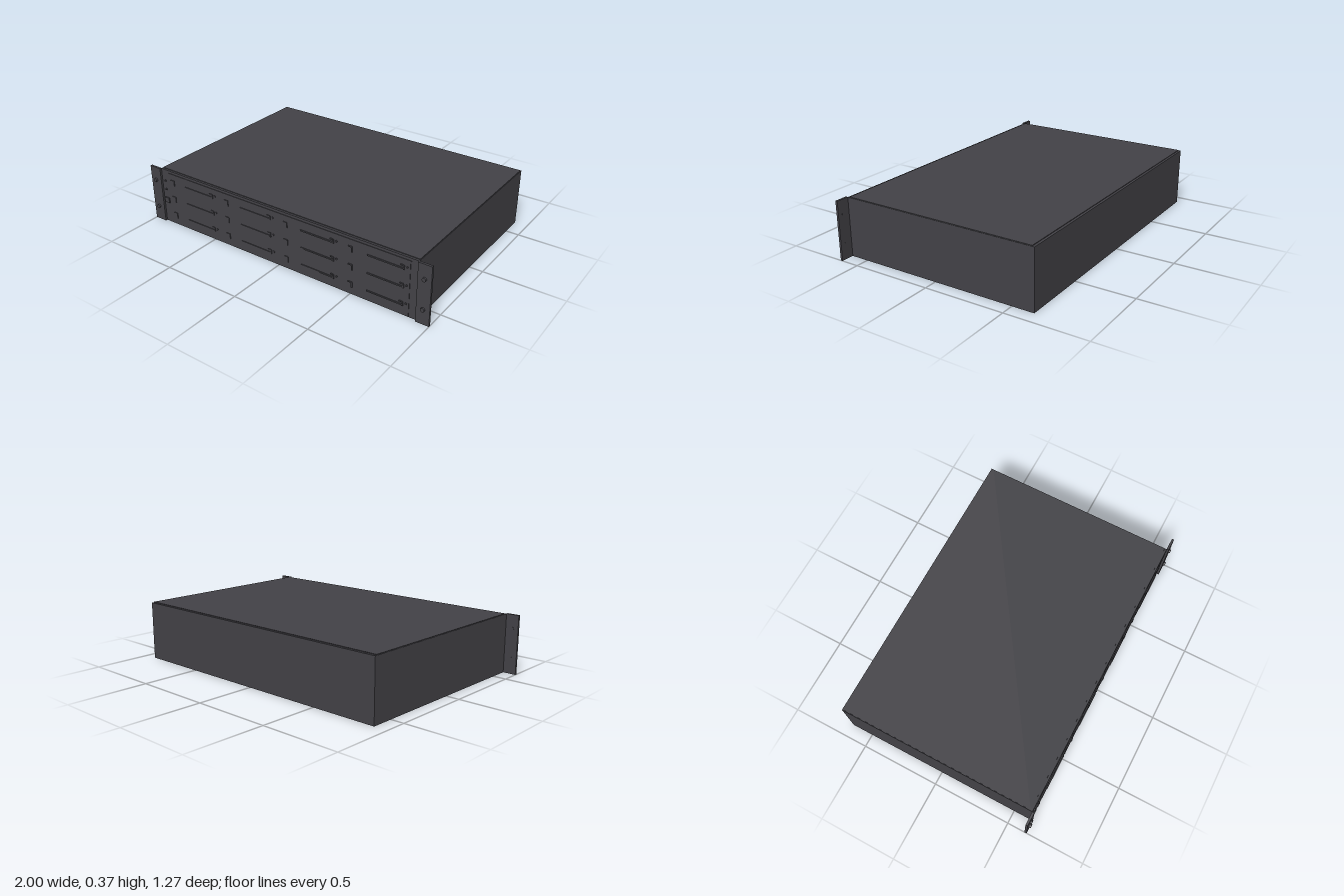
import * as THREE from 'three';

export function createModel() {
  const model = new THREE.Group();
  model.name = 'rackServer';
  const steel = new THREE.MeshStandardMaterial({ color: 0x434247 });
  steel.name = 'dark grey steel';

  const add = (parent, name, geometry, x, y, z) => {
    const mesh = new THREE.Mesh(geometry, steel);
    mesh.name = name;
    mesh.position.set(x, y, z);
    parent.add(mesh);
    return mesh;
  };
  const box = (parent, name, w, h, d, x, y, z) =>
    add(parent, name, new THREE.BoxGeometry(w, h, d), x, y, z);
  // Disc-like part whose axis points forwards
  const stud = (parent, name, r, d, x, y, z, sides = 20) =>
    add(parent, name, new THREE.CylinderGeometry(r, r, d, sides).rotateX(Math.PI / 2), x, y, z);

  // Chassis and slightly inset lid
  const front = 0.614;
  box(model, 'chassis', 1.836, 0.366, front + 0.636, 0, 0.183, (front - 0.636) / 2);
  box(model, 'lid', 1.83, 0.006, 1.222, 0, 0.367, -0.01);

  // Rack ears with thumb screws
  for (const side of [-1, 1]) {
    const ear = new THREE.Group();
    ear.name = side > 0 ? 'leftRackEar' : 'rightRackEar';
    model.add(ear);
    box(ear, 'earPlate', 0.082, 0.368, 0.014, side * 0.959, 0.184, 0.62);
    for (const y of [0.095, 0.28]) {
      stud(ear, 'earScrew', 0.012, 0.026, side * 0.96, y, 0.625);
    }
  }

  // Raised rails framing the drive bays
  box(model, 'topRail', 1.74, 0.006, 0.004, 0.005, 0.347, front + 0.001);
  box(model, 'sideRail', 0.005, 0.345, 0.004, 0.868, 0.178, front + 0.001);

  // Power button and indicators
  box(model, 'powerButton', 0.036, 0.034, 0.012, -0.89, 0.155, front + 0.002);
  for (const y of [0.23, 0.29]) stud(model, 'indicator', 0.006, 0.01, -0.89, y, front + 0.002, 12);

  // Drive bays: four columns by three rows
  for (let col = 0; col < 4; col++) {
    for (let row = 0; row < 3; row++) {
      const bay = new THREE.Group();
      bay.name = 'driveBay';
      bay.position.set(-0.61 + col * 0.4425, 0.064 + row * 0.113, front + 0.002);
      model.add(bay);
      box(bay, 'handleBar', 0.22, 0.008, 0.006, 0, 0, 0);
      // Hooked latch on the near side, catch and light on the far side
      box(bay, 'latchStem', 0.007, 0.034, 0.006, -0.207, -0.002, 0);
      box(bay, 'latchHook', 0.026, 0.007, 0.006, -0.218, 0.014, 0);
      box(bay, 'catchStem', 0.007, 0.026, 0.006, 0.114, 0.006, 0);
      box(bay, 'catchHook', 0.022, 0.007, 0.006, 0.104, 0.018, 0);
      stud(bay, 'driveLight', 0.006, 0.006, 0.134, 0.014, 0, 10);
    }
  }
  return model;
}
